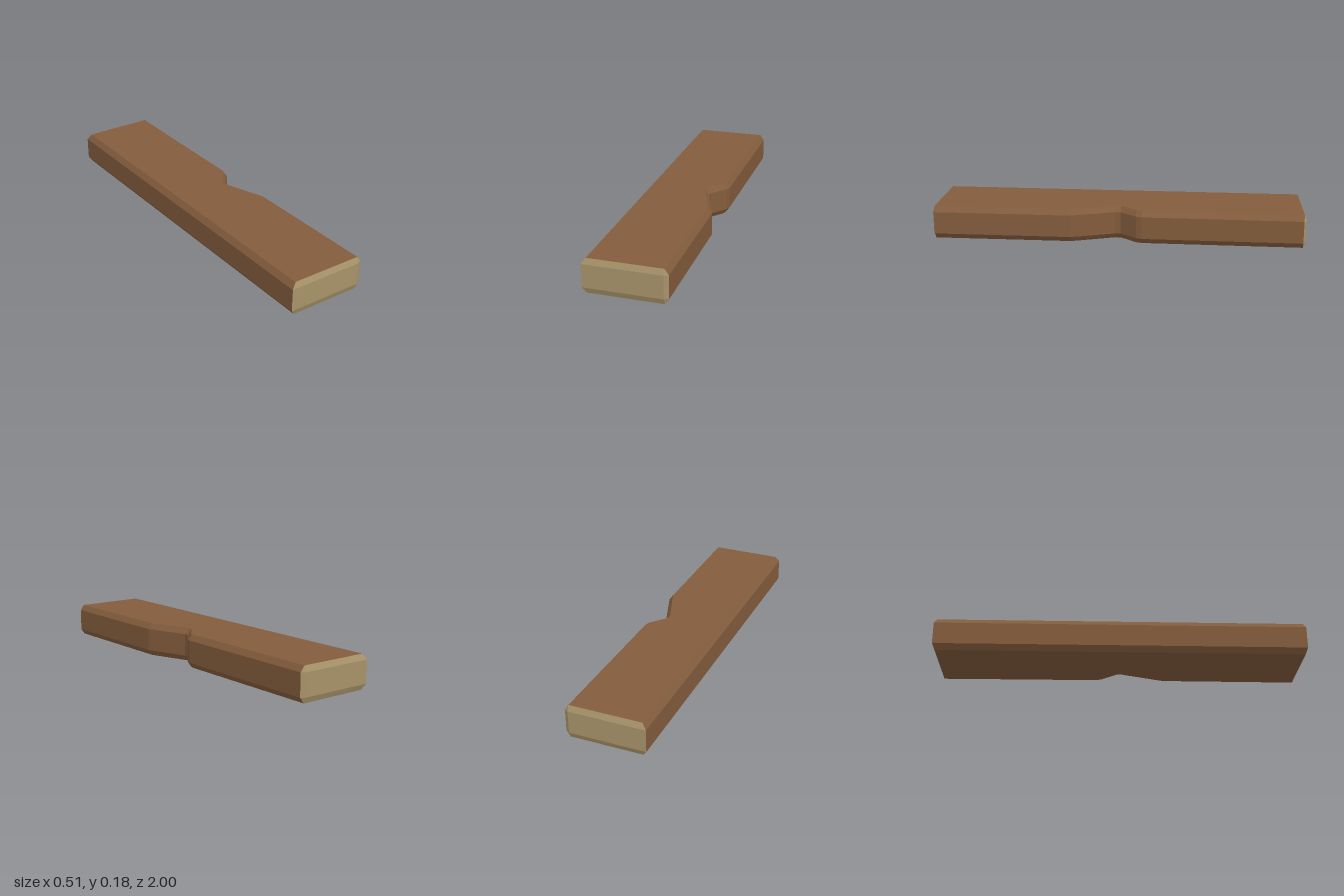
import * as THREE from 'three';

export function createModel() {
  const wood = new THREE.MeshStandardMaterial({ color: 0x835c3c });
  wood.name = 'brown wood';
  const cut = new THREE.MeshStandardMaterial({ color: 0xa8936a });
  cut.name = 'pale cut wood';

  // Plank outline: x, z, then the x and z inset of the bevelled top and bottom
  const outline = [
    [-0.17, 1.0, 0.022, -0.012],
    [0.233, 0.984, 0, -0.011],
    [0.255, 0.973, -0.022, 0],
    [0.221, 0.24, -0.022, 0],
    [0.21, 0.21, -0.022, 0],
    [0.13, 0.01, -0.024, 0],
    [0.13, -0.02, -0.024, 0],
    [0.195, -0.11, -0.022, 0],
    [0.203, -0.14, -0.022, 0],
    [0.17, -0.987, -0.022, 0],
    [0.148, -1.0, 0, 0.012],
    [-0.255, -0.982, 0.022, 0.012],
  ];
  const endEdges = [0, 1, 9, 10]; // sawn ends and their corner bevels

  // Rings from bottom to top: height and amount of inset
  const rings = [[0, 1], [0.03, 0], [0.15, 0], [0.18, 1]].map(([y, k]) =>
    outline.map(([x, z, dx, dz]) => new THREE.Vector3(x + k * dx, y, z + k * dz)));

  const sides = [], ends = [];
  const n = outline.length;
  for (let r = 0; r < 3; r++) {
    for (let i = 0; i < n; i++) {
      const j = (i + 1) % n;
      const [a, b, c, d] = [rings[r][i], rings[r][j], rings[r + 1][j], rings[r + 1][i]];
      (endEdges.includes(i) ? ends : sides).push(a, b, c, a, c, d);
    }
  }

  // Flat top and bottom
  const flat = rings[3].map(p => new THREE.Vector2(p.x, -p.z));
  for (const [a, b, c] of THREE.ShapeUtils.triangulateShape(flat, [])) {
    sides.push(rings[3][a], rings[3][b], rings[3][c]);
    sides.push(rings[0][c], rings[0][b], rings[0][a]);
  }

  const group = new THREE.Group();
  group.name = 'notchedPlank';
  const addPart = (name, points, material) => {
    const geometry = new THREE.BufferGeometry().setFromPoints(points);
    geometry.computeVertexNormals(); // unshared corners give flat faces
    const mesh = new THREE.Mesh(geometry, material);
    mesh.name = name;
    group.add(mesh);
  };
  addPart('plankBody', sides, wood);
  addPart('sawnEnds', ends, cut);
  return group;
}
